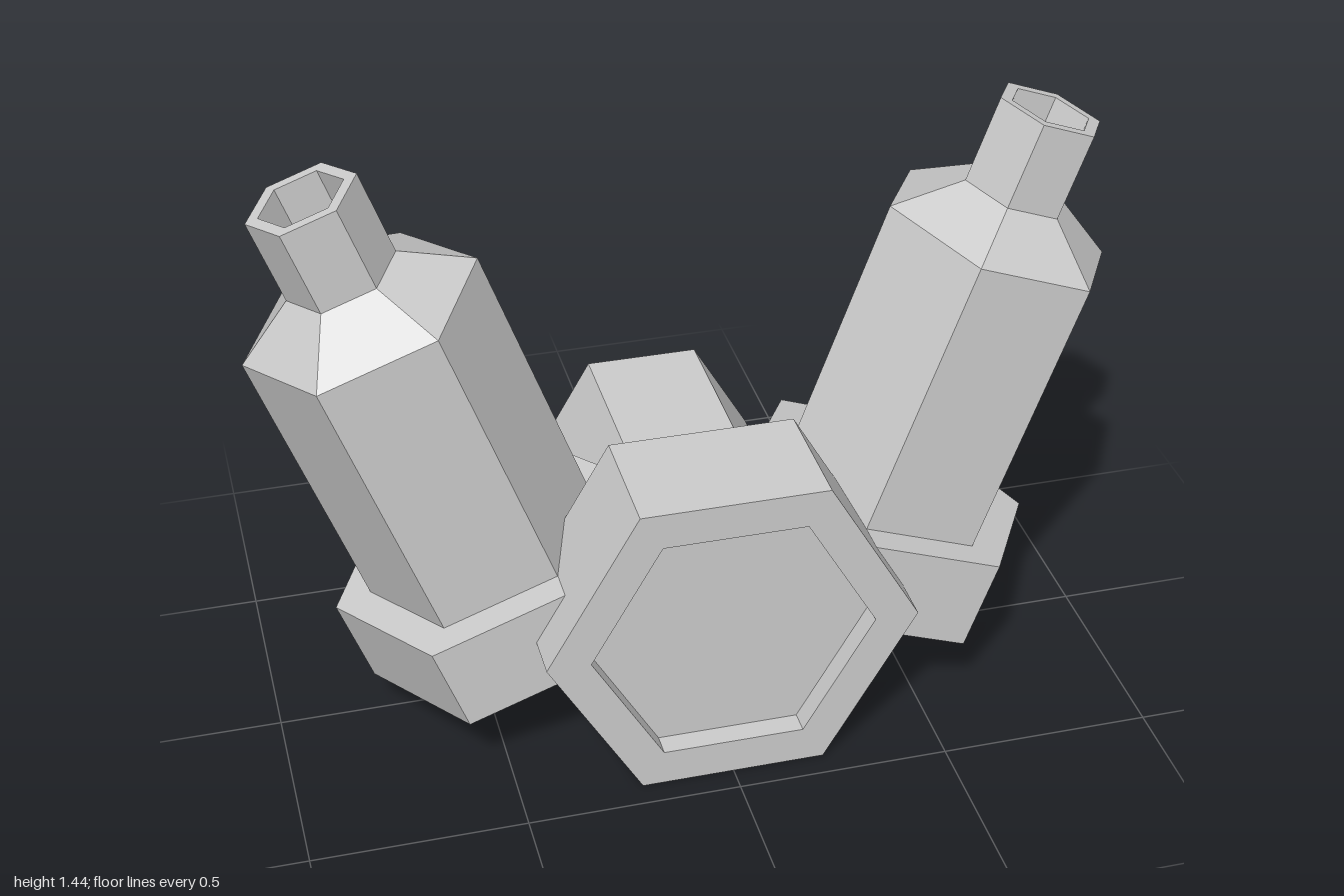
import * as THREE from 'three';

const material = new THREE.MeshStandardMaterial({ color: 0xcccccc, flatShading: true });

// Six-sided solid turned from [radius, height] pairs, with corners on the x axis
function hexSolid(name, profile) {
  const points = profile.map(([r, h]) => new THREE.Vector2(r, h));
  const mesh = new THREE.Mesh(new THREE.LatheGeometry(points, 6, Math.PI / 2), material);
  mesh.name = name;
  return mesh;
}

// Tilted canister: wide foot, body with sloping shoulder, hollow neck
function canister(side) {
  const group = new THREE.Group();
  group.name = side > 0 ? 'leftCanister' : 'rightCanister';
  group.add(
    hexSolid('foot', [[0, 0], [0.37, 0], [0.37, 0.225], [0, 0.225]]),
    hexSolid('body', [
      [0, 0.2], [0.282, 0.2], [0.282, 0.925], [0.13, 1.026],
      [0.13, 1.236], [0.1, 1.236], [0.1, 1.03], [0, 1.03],
    ]),
  );
  group.position.set(side * 0.422, 0.237, 0.01);
  group.rotation.z = -side * THREE.MathUtils.degToRad(20);
  return group;
}

export function createModel() {
  const model = new THREE.Group();
  model.name = 'twinCanisters';

  for (const side of [1, -1]) model.add(canister(side));

  // Central hub lying along z: recessed front plate and narrower rear core
  const hub = new THREE.Group();
  hub.name = 'hub';
  hub.add(
    hexSolid('frontPlate', [
      [0, 0.14], [0.435, 0.14], [0.435, 0.44], [0.333, 0.44], [0.333, 0.385], [0, 0.385],
    ]),
    hexSolid('rearCore', [[0, -0.44], [0.27, -0.44], [0.27, 0.16], [0, 0.16]]),
  );
  hub.rotation.x = Math.PI / 2;
  hub.position.y = 0.377;
  model.add(hub);

  return model;
}
